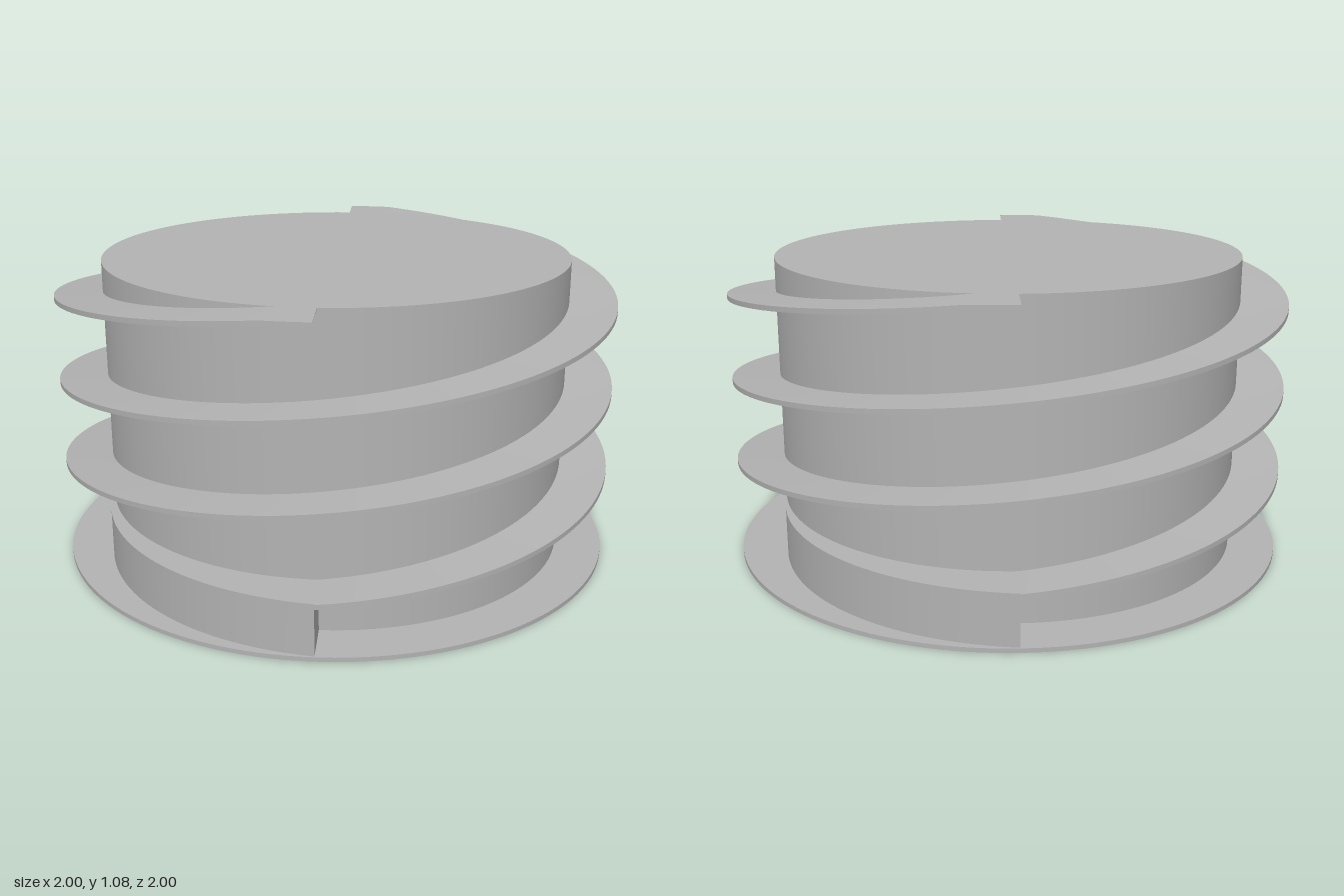
import * as THREE from 'three';
import { toCreasedNormals } from 'three/addons/utils/BufferGeometryUtils.js';

const RAD = Math.PI / 180;
const HEIGHT = 1.08, DRUM = 0.833, FLANGE = 0.015, LEDGE = 0.195;
const PITCH = 0.6, START = 116, NECK = 0.03;

// Point at an angle (degrees, from +x towards +z), radius and height
const polar = (deg, r, y) =>
  new THREE.Vector3(r * Math.cos(deg * RAD), y, r * Math.sin(deg * RAD));

// Ruled surface between two curves a(t) and b(t); n steps along, m across
function ruled(a, b, n = 1, m = 1) {
  const pos = [], index = [];
  for (let i = 0; i <= n; i++) {
    const p = a(i / n), q = b(i / n);
    for (let j = 0; j <= m; j++) pos.push(...p.clone().lerp(q, j / m).toArray());
  }
  for (let i = 0; i < n; i++) for (let j = 0; j < m; j++) {
    const k = i * (m + 1) + j, l = k + m + 1;
    index.push(k, k + 1, l, l, k + 1, l + 1);
  }
  const g = new THREE.BufferGeometry();
  g.setAttribute('position', new THREE.Float32BufferAttribute(pos, 3));
  g.setIndex(index);
  return toCreasedNormals(g, 0.5);
}

// Rim of one intake pocket: an arc, then a curved lip back to the neck
function pocketRim() {
  const from = 6, tip = 117, rim = [];
  for (let i = 0; i < 40; i++) rim.push([from + (tip - from) * i / 40, 0.825]);
  const lip = new THREE.SplineCurve([[0, 0.825], [8.5, 0.705], [18, 0.55],
    [25.5, 0.366], [29, 0.2], [32, NECK]].map(([d, r]) => new THREE.Vector2(tip + d, r)));
  for (const p of lip.getPoints(30)) rim.push([p.x, p.y]);
  return rim;
}

export function createModel() {
  const model = new THREE.Group();
  model.name = 'twinScrew';
  const grey = new THREE.MeshStandardMaterial({ color: 0xb3b3b3, side: THREE.DoubleSide });
  grey.name = 'grey';
  const add = (parent, name, geometry) => {
    const mesh = new THREE.Mesh(geometry, grey);
    mesh.name = name;
    parent.add(mesh);
  };
  const lathe = pts => toCreasedNormals(
    new THREE.LatheGeometry(pts.map(p => new THREE.Vector2(...p)), 128), 0.5);

  // Drum and base flange
  add(model, 'drum', lathe([[DRUM, FLANGE], [DRUM, HEIGHT], [0, HEIGHT]]));
  add(model, 'flange', lathe([[1, 0], [1, FLANGE], [DRUM - 0.005, FLANGE]]));

  // Underside with two pocket openings
  const rim = pocketRim(), last = rim.length - 1;
  const under = new THREE.Shape().absarc(0, 0, 1, 0, Math.PI * 2);
  for (const turn of [0, 180]) {
    const outline = [...rim, ...rim.slice(1, -1).reverse()
      .filter((_, i) => i % 8 === 0).map(([d]) => [d, NECK]), [rim[0][0], NECK]];
    under.holes.push(new THREE.Path(outline.map(([d, r]) => {
      const p = polar(d + turn, r, 0);
      return new THREE.Vector2(p.x, p.z);
    })));
  }
  add(model, 'underside', new THREE.ShapeGeometry(under, 64).rotateX(Math.PI / 2));

  // Everything below repeats after half a turn
  for (let side = 0; side < 2; side++) {
    const half = new THREE.Group();
    half.name = side ? 'secondStart' : 'firstStart';
    half.rotation.y = side * Math.PI;
    model.add(half);

    // Helical flight, one and a half turns, cut off level with the drum top
    const sweep = 540, steps = 270, inner = DRUM - 0.005;
    const flight = (r, lift) => t => polar(START - sweep * t, r,
      Math.min(HEIGHT, LEDGE + lift + PITCH * sweep * t / 360));
    const thick = -0.017;
    add(half, 'flightTop', ruled(flight(inner, 0), flight(1, 0), steps));
    add(half, 'flightEdge', ruled(flight(1, 0), flight(1, thick), steps));
    add(half, 'flightBottom', ruled(flight(1, thick), flight(inner, thick), steps));
    const endY = t => HEIGHT + (1 - t) * (LEDGE + thick + 0.9 - HEIGHT);
    add(half, 'flightEnd', ruled(t => polar(START - sweep, 1, endY(t)),
      t => polar(START - sweep, inner, endY(t))));

    // Tapering shoulder behind the start of the flight
    const shoulder = y => t => polar(START + 80 * t, 0.995 + (DRUM - 0.995) * t, y);
    add(half, 'shoulderWall', ruled(shoulder(FLANGE), shoulder(LEDGE), 40));
    add(half, 'shoulderLedge', ruled(shoulder(LEDGE),
      t => polar(START + 80 * t, inner, LEDGE), 40));
    const faceY = t => FLANGE + (LEDGE - FLANGE) * t;
    add(half, 'shoulderFace', ruled(t => polar(START, 0.995, faceY(t)),
      t => polar(START, inner, faceY(t))));

    // Intake pocket with a helical roof
    const at = t => rim[Math.round(t * last)];
    const roofY = d => PITCH * (d - rim[0][0]) / 360;
    const roof = t => polar(at(t)[0], at(t)[1], roofY(at(t)[0]));
    const neck = t => polar(at(t)[0], NECK, roofY(at(t)[0]));
    add(half, 'pocketRoof', ruled(neck, roof, last, 8));
    add(half, 'pocketWall', ruled(roof, t => polar(at(t)[0], at(t)[1], 0), last));
    add(half, 'pocketNeck', ruled(t => polar(at(t)[0], NECK, 0), neck, last));
  }
  return model;
}
